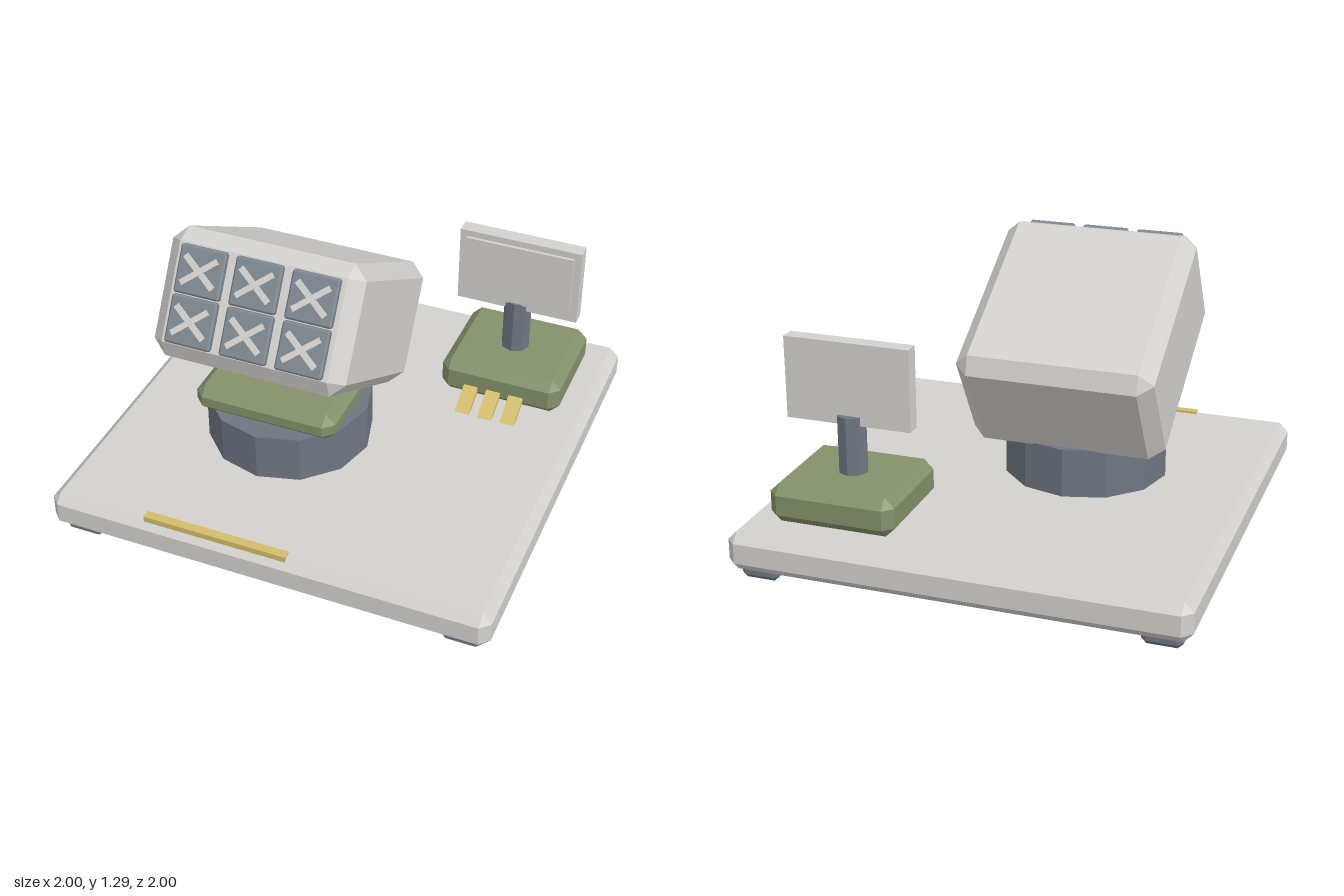
import * as THREE from 'three';
import { ConvexGeometry } from 'three/addons/geometries/ConvexGeometry.js';

function material(name, color) {
  const m = new THREE.MeshStandardMaterial({ color });
  m.name = name;
  return m;
}

// Box with all twelve edges bevelled by c
function chamferBox(w, h, d, c) {
  const pts = [];
  const [x, y, z] = [w / 2, h / 2, d / 2];
  for (const sx of [-1, 1]) for (const sy of [-1, 1]) for (const sz of [-1, 1]) {
    pts.push(
      new THREE.Vector3(sx * x, sy * (y - c), sz * (z - c)),
      new THREE.Vector3(sx * (x - c), sy * y, sz * (z - c)),
      new THREE.Vector3(sx * (x - c), sy * (y - c), sz * z)
    );
  }
  return new ConvexGeometry(pts);
}

// Faceted upright cylinder
function facetedCylinder(radius, height, sides) {
  const g = new THREE.CylinderGeometry(radius, radius, height, sides).toNonIndexed();
  g.computeVertexNormals();
  return g;
}

export function createModel() {
  const lightGrey = material('light grey', 0xd3d1cd);
  const slate = material('slate', 0x6f7681);
  const green = material('olive green', 0x83916a);
  const yellow = material('yellow', 0xd2bc6a);
  const steel = material('cell grey', 0x7e8790);

  const model = new THREE.Group();
  model.name = 'launcherPlatform';
  function add(name, geometry, mat, x, y, z, parent = model) {
    const mesh = new THREE.Mesh(geometry, mat);
    mesh.name = name;
    mesh.position.set(x, y, z);
    parent.add(mesh);
    return mesh;
  }

  // Base slab with four feet and a front marker strip
  add('base', chamferBox(2, 0.175, 2, 0.042), lightGrey, 0, 0.1325, 0);
  const footGeo = chamferBox(0.172, 0.075, 0.172, 0.023);
  for (const sx of [-1, 1]) for (const sz of [-1, 1])
    add('foot', footGeo, slate, sx * 0.87, 0.0375, sz * 0.87);
  add('frontStrip', new THREE.BoxGeometry(0.655, 0.03, 0.04), yellow, -0.22, 0.215, 0.955);

  // Turntable
  add('pedestal', facetedCylinder(0.37, 0.23, 12), slate, -0.22, 0.325, 0.175);
  add('turretMount', chamferBox(0.655, 0.135, 0.61, 0.045), green, -0.22, 0.503, 0.175);

  // Tilted launcher box with a 3 x 2 grid of cells
  const launcher = new THREE.Group();
  launcher.name = 'launcher';
  launcher.position.set(-0.22, 0.851, 0.126);
  launcher.rotation.x = -0.54;
  model.add(launcher);
  add('launcherBox', chamferBox(0.87, 0.553, 0.912, 0.062), lightGrey, 0, 0, 0, launcher);
  const cellGeo = chamferBox(0.207, 0.205, 0.05, 0.008);
  const barGeo = new THREE.BoxGeometry(0.185, 0.025, 0.015);
  for (const col of [-1, 0, 1]) for (const row of [-1, 1]) {
    const x = col * 0.25, y = row * 0.106;
    add('cellCover', cellGeo, steel, x, y, 0.46, launcher);
    for (const s of [-1, 1])
      add('crossBar', barGeo, lightGrey, x, y, 0.488 + s * 0.001, launcher).rotation.z = s * 0.68;
  }

  // Control unit with post and flat panel
  add('controlUnit', chamferBox(0.565, 0.175, 0.515, 0.043), green, 0.5875, 0.3075, -0.5925);
  add('panelPost', facetedCylinder(0.065, 0.275, 8), slate, 0.585, 0.5175, -0.588);
  add('panel', new THREE.BoxGeometry(0.565, 0.365, 0.068), lightGrey, 0.5875, 0.7975, -0.585);
  add('panelFace', new THREE.BoxGeometry(0.5, 0.3, 0.02), lightGrey, 0.5875, 0.8, -0.546);

  // Cable stubs sloping down to the base
  for (const i of [-1, 0, 1])
    add('cableStub', new THREE.BoxGeometry(0.067, 0.02, 0.16), yellow, 0.567 + i * 0.108, 0.25, -0.285).rotation.x = 0.5;

  return model;
}
